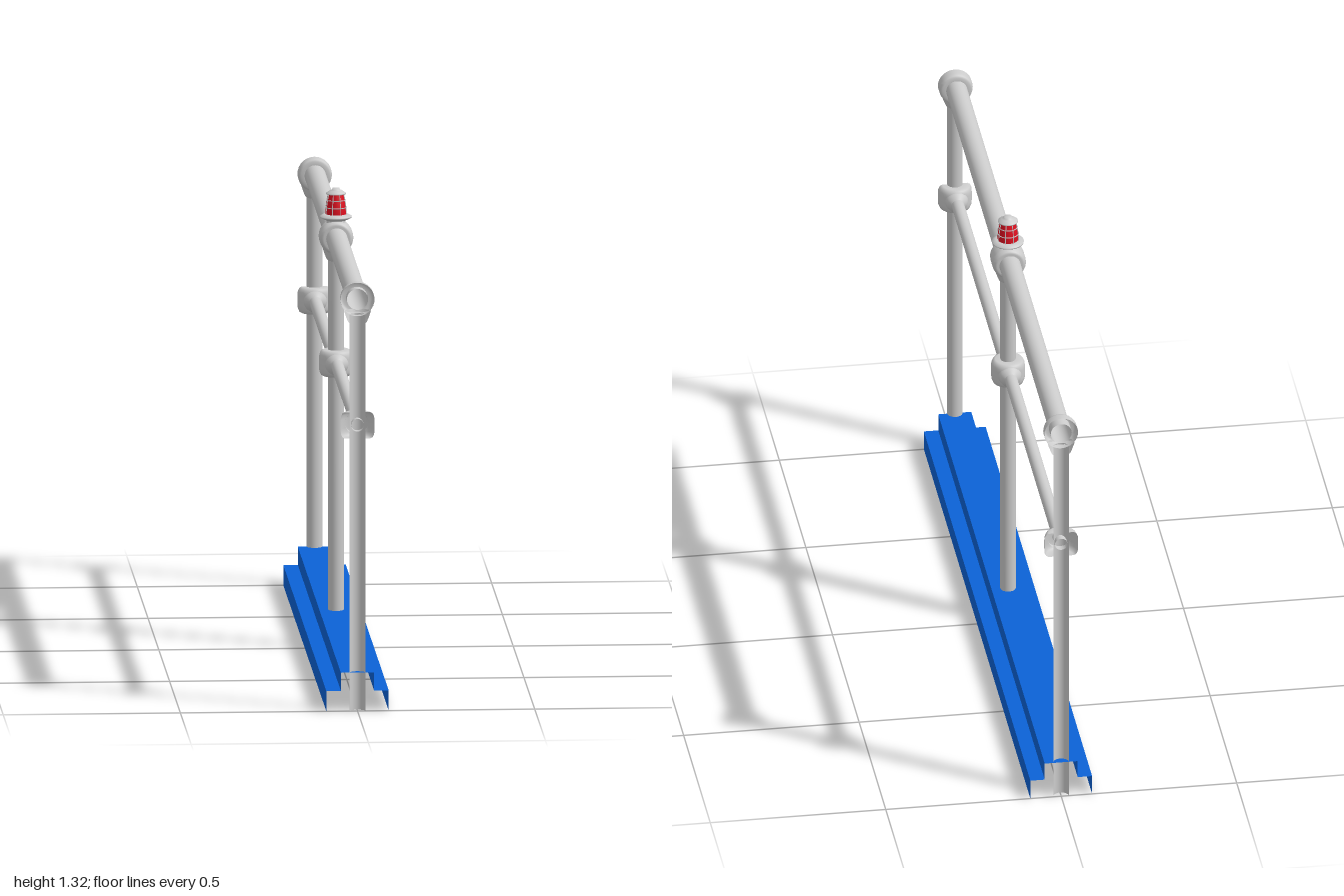
import * as THREE from 'three';

const V = (p) => p.map(([r, y]) => new THREE.Vector2(r, y));
const mat = (color) => new THREE.MeshStandardMaterial({ color, side: THREE.DoubleSide });

export function createModel() {
  const model = new THREE.Group();
  const grey = mat(0xcccccc), blue = mat(0x0b62d6), red = mat(0xe01020);

  const add = (name, geo, material = grey, x = 0, y = 0, z = 0) => {
    const mesh = new THREE.Mesh(geo, material);
    mesh.name = name;
    mesh.position.set(x, y, z);
    model.add(mesh);
    return mesh;
  };
  // side 0 is a full turn; side +1 / -1 is the half shell left by a cut at z = +1 / -1
  const upright = (name, profile, side = 0, material = grey) => {
    const start = side > 0 ? Math.PI / 2 : -Math.PI / 2;
    const geo = new THREE.LatheGeometry(V(profile), side ? 16 : 32, start, side ? Math.PI : Math.PI * 2);
    return add(name, geo, material, 0, 0, side);
  };
  // Turned part lying along z
  const along = (name, profile, y) => {
    const geo = new THREE.LatheGeometry(V(profile), 32);
    geo.rotateX(Math.PI / 2);
    return add(name, geo, grey, 0, y, 0);
  };

  // Stepped base channel: one thin folded sheet swept along z
  const section = [[-0.088, 0], [-0.088, 0.058], [-0.047, 0.058], [-0.047, 0.11],
    [0.047, 0.11], [0.047, 0.058], [0.088, 0.058], [0.088, 0]];
  for (let i = 0; i < section.length - 1; i++) {
    const [x0, y0] = section[i], [x1, y1] = section[i + 1];
    const sheet = new THREE.PlaneGeometry(Math.hypot(x1 - x0, y1 - y0), 2);
    sheet.rotateX(-Math.PI / 2);
    sheet.rotateZ(Math.atan2(y1 - y0, x1 - x0));
    add('baseChannel', sheet, blue, (x0 + x1) / 2, (y0 + y1) / 2, 0);
  }

  // Rails
  const railY = 1.178, midY = 0.818;
  along('topRail', [[0.03, -1], [0.03, 1]], railY);
  along('midRail', [[0.018, -1], [0.018, 1]], midY);

  // Posts with their lower fittings; the end ones are cut in half
  for (const side of [-1, 0, 1]) {
    upright('post', [...(side ? [] : [[0, 0]]), [0.022, 0], [0.022, 1.135]], side);
    upright('postNeck', [[0.022, 1.11], [0.026, 1.113], [0.031, 1.125], [0.038, 1.145]], side);
    upright('midFitting', [[0.022, 0.78], [0.036, 0.78], [0.043, 0.784], [0.047, 0.793],
      [0.048, 0.805], [0.048, 0.831], [0.047, 0.842], [0.043, 0.851], [0.036, 0.855], [0.022, 0.855]], side);
  }

  // Collars where the mid rail meets the fittings
  for (const s of [-1, 1]) {
    along('midCollar', [[0.033, s * 0.035], [0.029, s * 0.05], [0.018, s * 0.06]], midY);
    along('endCollar', [[0.033, s * 0.965], [0.029, s * 0.95], [0.018, s * 0.94]], midY);
    along('endRailFitting', [[0.03, s * 0.964], [0.04, s * 0.964], [0.045, s * 0.968],
      [0.048, s * 0.978], [0.048, s]], railY);
  }
  along('centreRailFitting', [[0, -0.038], [0.036, -0.038], [0.042, -0.035], [0.047, -0.027],
    [0.048, -0.018], [0.048, 0.018], [0.047, 0.027], [0.042, 0.035], [0.036, 0.038], [0, 0.038]], railY);

  // Warning lamp: foot, brim, glass and cap
  upright('lampFoot', [[0.027, 1.215], [0.027, 1.23]]);
  upright('lampBrim', [[0, 1.226], [0.03, 1.226], [0.044, 1.233], [0.045, 1.237], [0.034, 1.243], [0, 1.243]]);
  upright('lampGlass', [[0.029, 1.242], [0.029, 1.258], [0.026, 1.28], [0.021, 1.302]], 0, red);
  upright('lampCap', [[0, 1.3], [0.028, 1.3], [0.028, 1.303], [0.018, 1.31], [0.012, 1.312], [0.01, 1.317], [0, 1.317]]);

  // Lamp cage: hoops and bent bars
  for (const [r, y] of [[0.0295, 1.262], [0.0265, 1.283]]) {
    const hoop = new THREE.TorusGeometry(r, 0.0013, 6, 32);
    hoop.rotateX(Math.PI / 2);
    add('cageHoop', hoop, grey, 0, y, 0);
  }
  for (let i = 0; i < 8; i++) {
    const bar = new THREE.CatmullRomCurve3([[0.0305, 1.24], [0.0302, 1.258], [0.0268, 1.282], [0.0225, 1.302]]
      .map(([r, y]) => new THREE.Vector3(r, y, 0)));
    const mesh = add('cageBar', new THREE.TubeGeometry(bar, 10, 0.0013, 6));
    mesh.rotation.y = (i + 0.5) * Math.PI / 4;
  }
  return model;
}
